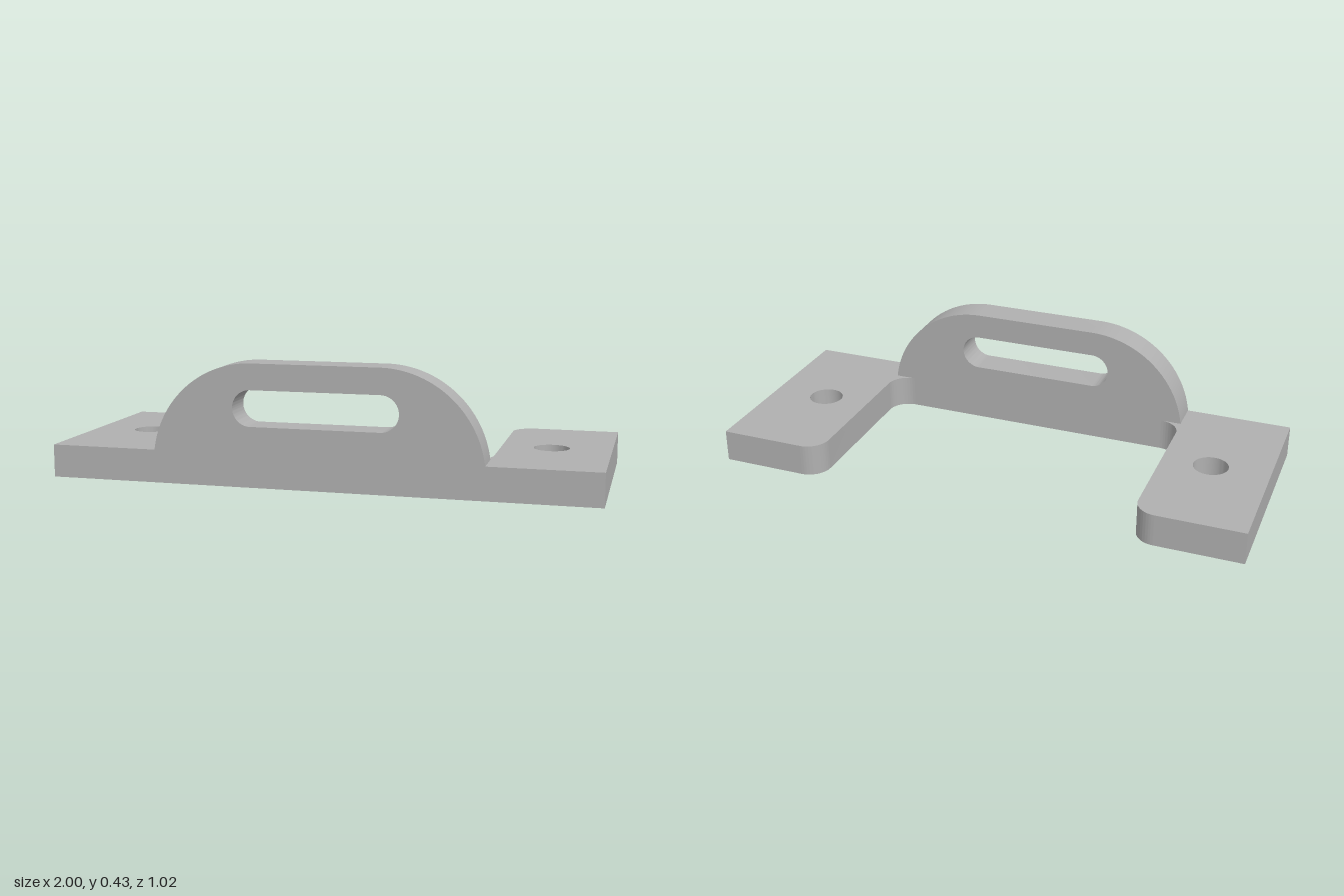
import * as THREE from 'three';
import { toCreasedNormals } from 'three/addons/utils/BufferGeometryUtils.js';

const HALF_W = 0.955, HALF_D = 0.382; // overall half width and depth
const INNER = 0.575;                  // inner edge of each foot
const THICK = 0.115;                  // plate and arch thickness
const R = 0.076;                      // corner and fillet radius

function extrude(shape, depth) {
  const g = new THREE.ExtrudeGeometry(shape, { depth, bevelEnabled: false, curveSegments: 24 });
  return toCreasedNormals(g, 0.5);
}

function circleHole(x, y, r) {
  const p = new THREE.Path();
  p.absarc(x, y, r, 0, Math.PI * 2, true);
  return p;
}

// U-shaped base: two feet joined by a front strip (shape y points backwards)
function basePlate() {
  const web = -HALF_D + THICK;
  const s = new THREE.Shape();
  s.moveTo(-HALF_W, -HALF_D);
  s.lineTo(HALF_W, -HALF_D);
  s.lineTo(HALF_W, HALF_D);
  s.absarc(INNER + R, HALF_D - R, R, Math.PI / 2, Math.PI, false);
  s.absarc(INNER - R, web + R, R, 0, -Math.PI / 2, true);
  s.absarc(-INNER + R, web + R, R, -Math.PI / 2, -Math.PI, true);
  s.absarc(-INNER - R, HALF_D - R, R, 0, Math.PI / 2, false);
  s.lineTo(-HALF_W, HALF_D);
  s.closePath();
  for (const side of [-1, 1]) s.holes.push(circleHole(side * 0.748, 0, 0.062));
  return extrude(s, THICK).rotateX(-Math.PI / 2);
}

// Upright loop with rounded shoulders and a long slot
function archPlate() {
  const top = 0.425, r = 0.355, flat = 0.221, cy = top - r;
  const a = Math.asin((THICK - cy) / r);
  const s = new THREE.Shape();
  s.absarc(flat, cy, r, a, Math.PI / 2, false);
  s.absarc(-flat, cy, r, Math.PI / 2, Math.PI - a, false);
  s.closePath();
  const slotR = 0.0625, slotX = 0.288 - slotR, slotY = 0.272;
  const slot = new THREE.Path();
  slot.absarc(slotX, slotY, slotR, Math.PI / 2, -Math.PI / 2, true);
  slot.absarc(-slotX, slotY, slotR, -Math.PI / 2, -Math.PI * 1.5, true);
  slot.closePath();
  s.holes.push(slot);
  return extrude(s, THICK).translate(0, 0, HALF_D - THICK);
}

export function createModel() {
  const metal = new THREE.MeshStandardMaterial({ color: 0xb0b0b0 });
  metal.name = 'grey metal';
  const model = new THREE.Group();
  model.name = 'bracket';
  const body = new THREE.Group();
  body.name = 'bracketBody';
  body.rotation.y = THREE.MathUtils.degToRad(8); // the bracket sits slightly turned
  for (const [name, geometry] of [['basePlate', basePlate()], ['slottedArch', archPlate()]]) {
    const mesh = new THREE.Mesh(geometry, metal);
    mesh.name = name;
    body.add(mesh);
  }
  model.add(body);
  return model;
}
